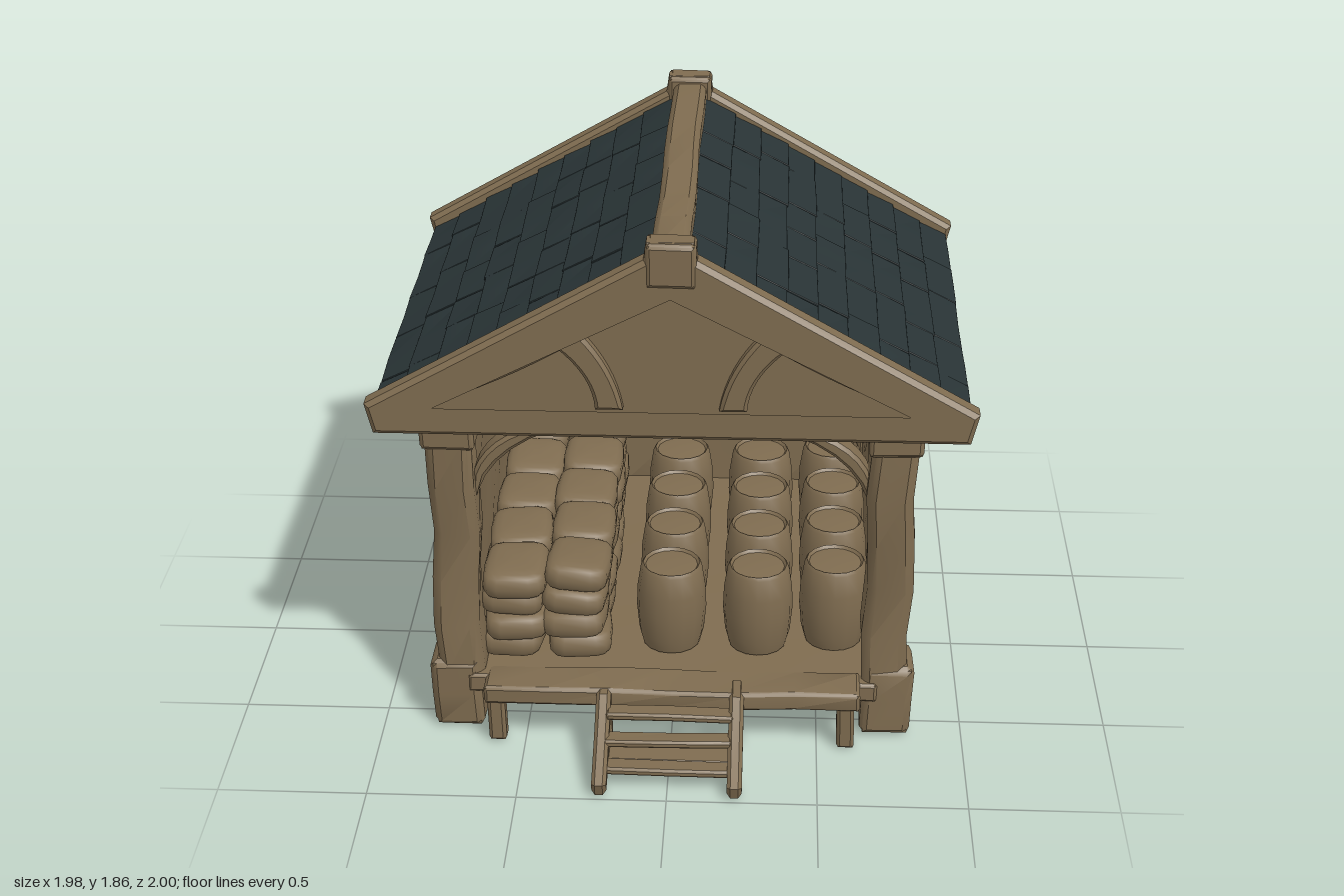
import * as THREE from 'three';
import { mergeVertices, toCreasedNormals } from 'three/addons/utils/BufferGeometryUtils.js';

const wood = new THREE.MeshStandardMaterial({ color: 0x7f6c50 });
wood.name = 'brown wood';
const slate = new THREE.MeshStandardMaterial({ color: 0x293436 });
slate.name = 'dark slate';

let seed = 7;
const rand = () => (seed = (seed * 16807) % 2147483647) / 2147483647;

function smooth(geo, angle = 0.6) {
  geo.deleteAttribute('normal');
  geo.deleteAttribute('uv');
  return toCreasedNormals(mergeVertices(geo, 1e-4), angle);
}

// Hand-hewn block: worn edges and a gently uneven surface
function hewn(w, h, d, r = 0.015, wobble = 0.006) {
  const size = [w, h, d];
  const seg = size.map((s) => Math.min(9, 3 + Math.floor(s / 0.22)));
  const geo = new THREE.BoxGeometry(w, h, d, ...seg);
  const pos = geo.attributes.position;
  const k = rand() * 20;
  for (let i = 0; i < pos.count; i++) {
    const p = [pos.getX(i), pos.getY(i), pos.getZ(i)];
    const outer = p.map((v, a) => Math.abs(v) > size[a] / 2 - 1e-5);
    const edge = outer.filter(Boolean).length > 1;
    const q = p.map((v, a) => {
      const half = size[a] / 2;
      if (outer[a]) return Math.sign(v) * (half - (edge ? r * 0.42 : 0));
      return v * (half - r) / (half * (1 - 2 / seg[a]));
    });
    const wave = (a, b) => wobble * Math.sin(q[a] * 11 + q[b] * 7 + k + a * 2);
    pos.setXYZ(i, q[0] + wave(1, 2), q[1] + wave(2, 0), q[2] + wave(0, 1));
  }
  return smooth(geo);
}

// Extruded outline running from z0 to z1 with worn edges
function slab(shape, z0, z1, bevel = 0.012) {
  const geo = new THREE.ExtrudeGeometry(shape, {
    depth: z1 - z0 - 2 * bevel, curveSegments: 8, bevelEnabled: true,
    bevelThickness: bevel, bevelSize: bevel, bevelOffset: -bevel, bevelSegments: 1,
  });
  geo.translate(0, 0, z0 + bevel);
  return smooth(geo);
}

const outline = (pts) => new THREE.Shape(pts.map((p) => new THREE.Vector2(...p)));

// Curved strip between two quadratic edges, mirrored by s
function strip(s, a, b) {
  const shape = new THREE.Shape();
  shape.moveTo(s * a[0], a[1]);
  shape.quadraticCurveTo(s * a[2], a[3], s * a[4], a[5]);
  shape.lineTo(s * b[0], b[1]);
  shape.quadraticCurveTo(s * b[2], b[3], s * b[4], b[5]);
  shape.closePath();
  return shape;
}

export function createModel() {
  const model = new THREE.Group();
  model.name = 'storehouse';
  const add = (name, geo, x = 0, y = 0, z = 0, parent = model, mat = wood) => {
    const mesh = new THREE.Mesh(geo, mat);
    mesh.name = name;
    mesh.position.set(x, y, z);
    parent.add(mesh);
    return mesh;
  };
  // Block given by its limits on each axis
  const block = (name, x0, x1, y0, y1, z0, z1, r, wobble) =>
    add(name, hewn(x1 - x0, y1 - y0, z1 - z0, r, wobble), (x0 + x1) / 2, (y0 + y1) / 2, (z0 + z1) / 2);

  // Floor, ceiling and porch edge
  block('floor', -0.7, 0.7, 0.16, 0.23, -0.86, 0.62, 0.01, 0.002);
  block('porchEdge', -0.64, 0.64, 0.165, 0.235, 0.55, 0.70, 0.012, 0.004);
  block('ceiling', -0.92, 0.92, 1.185, 1.21, -0.92, 0.6, 0.005, 0.001);

  // Back wall with its flared centre post
  block('backWall', -0.72, 0.72, 0.14, 1.19, -0.88, -0.82, 0.01, 0.004);
  block('backSill', -0.68, 0.68, 0.13, 0.24, -0.9, -0.84, 0.015, 0.005);
  block('innerPost', -0.04, 0.04, 0.22, 1.19, -0.83, -0.77, 0.012, 0.004);
  add('backPost', slab(outline([[-0.04, 0.2], [0.04, 0.2], [0.04, 0.9], [0.09, 1.19],
    [-0.18, 1.19], [-0.05, 0.86]]), -0.905, -0.85));

  for (const s of [-1, 1]) {
    // Side walls
    const side = (name, xa, xb, ...rest) => block(name, Math.min(s * xa, s * xb), Math.max(s * xa, s * xb), ...rest);
    side('sideWall', 0.68, 0.755, 0.1, 1.19, -0.85, 0.5, 0.01, 0.005);
    side('sideSill', 0.66, 0.805, 0.02, 0.22, -0.82, 0.5, 0.03, 0.008);
    side('sidePost', 0.7, 0.775, 0.18, 1.19, -0.2, -0.1, 0.015, 0.006);

    // Corner columns
    for (const [z, end] of [[0.525, 'front'], [-0.85, 'back']]) {
      side(end + 'Column', 0.65, 0.805, 0.2, 1.15, z - 0.08, z + 0.075, 0.03, 0.009);
      side(end + 'ColumnBase', 0.652, 0.825, 0.01, 0.28, z - 0.1, z + 0.085, 0.025, 0.005);
      side(end + 'ColumnCap', 0.645, 0.825, 1.1, 1.19, z - 0.095, z + 0.09, 0.015, 0.004);
    }
    // Arched bracket, porch leg and eaves beam
    add('archBracket', slab(strip(s, [0.66, 0.85, 0.62, 1.12, 0.22, 1.19],
      [0.3, 1.19, 0.6, 1.16, 0.66, 0.98]), 0.46, 0.55));
    side('porchLeg', 0.565, 0.625, 0.01, 0.2, 0.62, 0.685, 0.012, 0.003);
    side('eavesBeam', 0.85, 0.955, 1.18, 1.25, -0.93, 0.6, 0.02, 0.004);
  }

  // Gable frames with infill and curved braces
  const frame = outline([[-0.99, 1.28], [-0.085, 1.8], [-0.075, 1.86], [0.075, 1.86], [0.085, 1.8],
    [0.99, 1.28], [0.965, 1.175], [-0.965, 1.175]]);
  frame.holes.push(new THREE.Path([[-0.79, 1.27], [0, 1.69], [0.79, 1.27]].map((p) => new THREE.Vector2(...p))));
  const infill = outline([[-0.86, 1.2], [0.86, 1.2], [0, 1.74]]);
  for (const [name, z0, z1, out] of [['front', 0.57, 0.655, 1], ['back', -0.99, -0.905, -1]]) {
    const span = (a, b) => (out > 0 ? [z0 - a, z1 - b] : [z0 + b, z1 + a]);
    add(name + 'GableFrame', slab(frame, z0, z1, 0.016));
    add(name + 'GableInfill', slab(infill, ...span(0.04, 0.075), 0.005));
    block(name + 'RidgeBlock', -0.08, 0.08, 1.71, 1.86, z0 - 0.01, z1 + 0.01, 0.015, 0.002);
    for (const s of [-1, 1]) {
      add(name + 'CurvedBrace', slab(strip(s, [0.155, 1.26, 0.18, 1.41, 0.29, 1.53],
        [0.37, 1.48, 0.25, 1.38, 0.245, 1.26]), ...span(0.02, 0.035)));
      add(name + 'InnerRafter', slab(strip(s, [0.8, 1.26, 0.56, 1.34, 0.3, 1.5],
        [0.34, 1.54, 0.6, 1.4, 0.84, 1.27]), ...span(0.02, 0.035)));
    }
  }

  // Roof slopes with staggered shingle courses
  const length = 1.045, rows = 9, step = length / rows;
  for (const s of [-1, 1]) {
    const roof = new THREE.Group();
    roof.name = s > 0 ? 'leftRoofSlope' : 'rightRoofSlope';
    roof.position.set(s * 0.51, 1.515, -0.165);
    roof.rotation.z = -s * Math.atan2(0.53, 0.9);
    model.add(roof);
    add('roofDeck', new THREE.BoxGeometry(length, 0.03, 1.49), 0, -0.03, 0, roof, slate);
    for (let i = 0; i < rows; i++) {
      let z = -0.74;
      while (z < 0.73) {
        let w = 0.2 + rand() * 0.2;
        if (z + w > 0.6) w = 0.74 - z;
        const shingle = add('shingle', hewn(step + 0.014 + rand() * 0.01, 0.018, w - 0.001, 0.002, 0.0025),
          s * (-length / 2 + (i + 0.5) * step), -0.008, z + w / 2, roof, slate);
        shingle.rotation.z = s * 0.06;
        z += w;
      }
    }
  }
  block('ridgeBeam', -0.06, 0.06, 1.72, 1.838, -0.95, 0.62, 0.02, 0.003);

  // Front steps
  const stringer = outline([[0.62, 0.235], [0.72, 0.235], [0.84, 0.15], [1.0, 0.06], [0.985, 0.012], [0.92, 0.03],
    [0.8, 0.1], [0.7, 0.175], [0.62, 0.175]]);
  for (const s of [-1, 1]) {
    const geo = slab(stringer, -0.025, 0.025);
    geo.rotateY(-Math.PI / 2);
    add('stairStringer', geo, s * 0.225);
    block('stairLeg', s * 0.225 - 0.022, s * 0.225 + 0.022, 0.01, 0.2, 0.62, 0.67, 0.01, 0.002);
  }
  for (const [y, z] of [[0.185, 0.755], [0.13, 0.83], [0.07, 0.905]])
    block('stairTread', -0.215, 0.215, y - 0.014, y + 0.014, z - 0.033, z + 0.033, 0.008, 0.002);
  block('stairGroundBar', -0.21, 0.21, 0.012, 0.026, 0.7, 0.8, 0.004, 0.001);

  // Barrels with a bulging profile and a recessed lid
  const profile = [[0, 0], [0.1, 0], [0.113, 0.05], [0.121, 0.14], [0.118, 0.22], [0.106, 0.3],
    [0.098, 0.312], [0.09, 0.302], [0, 0.31]].map((p) => new THREE.Vector2(...p));
  const barrel = smooth(new THREE.LatheGeometry(profile, 16), 0.7);
  for (const z of [0.36, 0.08, -0.2, -0.48])
    for (const x of [-0.01, 0.29, 0.555]) add('barrel', barrel, x, 0.235, z + (x > 0.5 ? -0.04 : 0));

  // Stacked sacks
  const sack = new THREE.SphereGeometry(1, 14, 10);
  const p = sack.attributes.position;
  const puff = (v, e) => Math.sign(v) * Math.abs(v) ** e;
  for (let i = 0; i < p.count; i++)
    p.setXYZ(i, puff(p.getX(i), 0.45) * 0.112, puff(p.getY(i), 0.7) * 0.054, puff(p.getZ(i), 0.45) * 0.135);
  const sackGeo = smooth(sack, 1.2);
  for (let layer = 0; layer < 4; layer++)
    for (let row = 0; row < 5; row++)
      for (let col = 0; col < 2; col++) {
        const mesh = add('sack', sackGeo, -0.55 + col * 0.215 + (rand() - 0.5) * 0.02,
          0.28 + layer * (0.082 + col * 0.006), 0.4 - row * 0.255 + (rand() - 0.5) * 0.03);
        mesh.rotation.set((rand() - 0.5) * 0.12, (rand() - 0.5) * 0.16, (rand() - 0.5) * 0.12);
      }
  return model;
}
